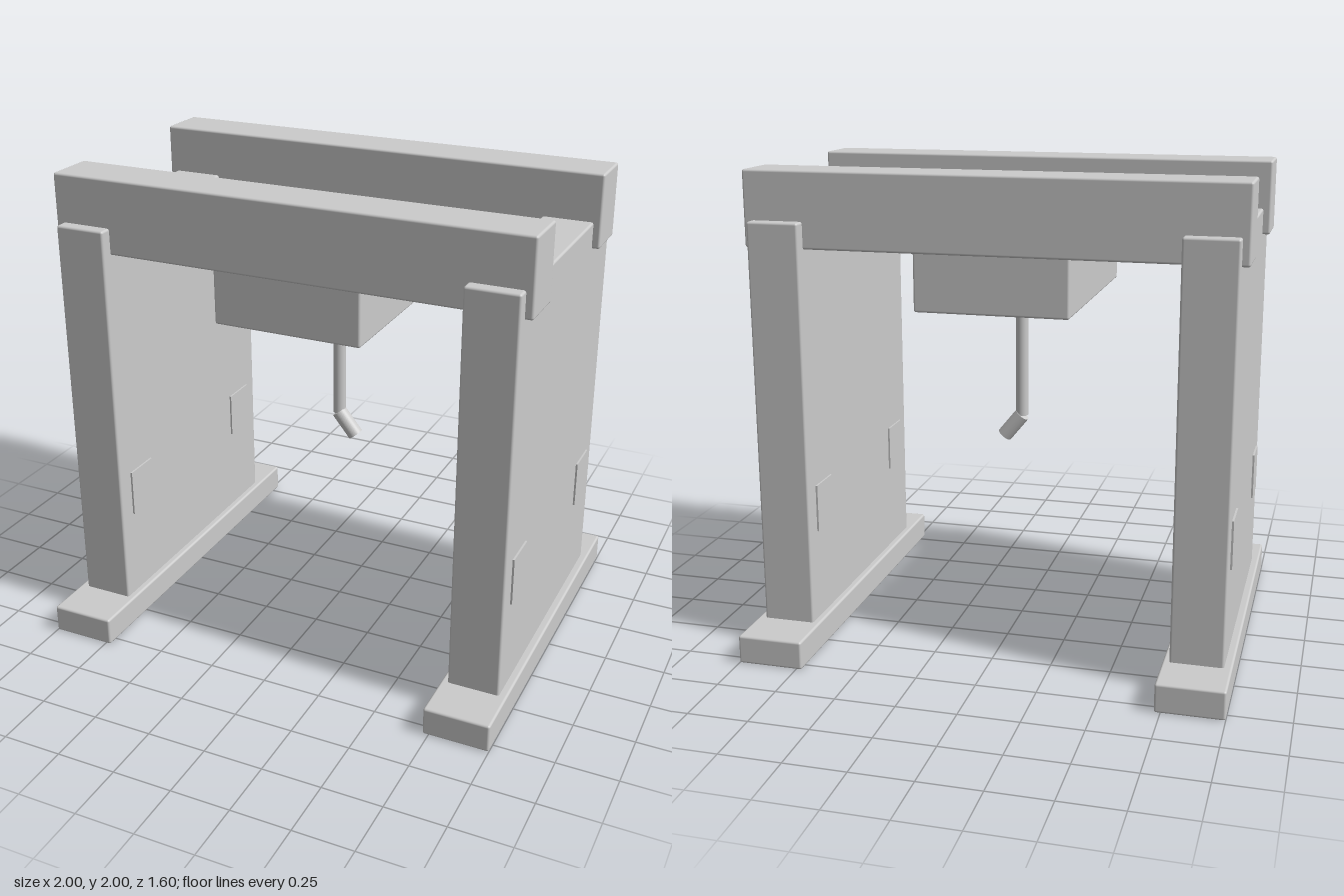
import * as THREE from 'three';
import { RoundedBoxGeometry } from 'three/addons/geometries/RoundedBoxGeometry.js';

const material = new THREE.MeshStandardMaterial({ color: 0xcccccc });

export function createModel() {
  const model = new THREE.Group();
  model.name = 'gantry';

  const add = (name, geometry, x, y, z) => {
    const mesh = new THREE.Mesh(geometry, material);
    mesh.name = name;
    mesh.position.set(x, y, z);
    model.add(mesh);
    return mesh;
  };
  // Box with softly eased edges, given by its lower and upper corners
  const block = (name, [x0, y0, z0], [x1, y1, z1]) =>
    add(name, new RoundedBoxGeometry(x1 - x0, y1 - y0, z1 - z0, 2, 0.01),
      (x0 + x1) / 2, (y0 + y1) / 2, (z0 + z1) / 2);

  // Side frames: foot, wall and two thin plates showing on both wall faces
  for (const [side, s] of [['left', 1], ['right', -1]]) {
    const span = (a, b) => (s > 0 ? [a, b] : [-b, -a]);
    const [f0, f1] = span(0.725, 1);
    block(side + 'Foot', [f0, 0, -0.8], [f1, 0.12, 0.8]);
    const [w0, w1] = span(0.752, 0.968);
    block(side + 'Wall', [w0, 0.11, -0.6], [w1, 1.8, 0.6]);
    for (const z of [-0.44, 0.44])
      add(side + 'WallPlate', new THREE.BoxGeometry(0.232, 0.2, 0.16), s * 0.86, 0.6, z);
  }

  // Cross beams
  block('frontBeam', [-1, 1.69, 0.335], [1, 2, 0.55]);
  block('backBeam', [-1, 1.69, -0.55], [1, 2, -0.335]);

  // Hanging housing between the beams
  block('housing', [-0.315, 1.45, -0.5], [0.315, 1.71, 0.5]);

  // Vertical rod
  add('rod', new THREE.CylinderGeometry(0.027, 0.027, 0.54, 24), 0, 1.19, 0);

  // Tilted nozzle, bored at its lower end
  const half = 0.062;
  const bore = new THREE.Shape().absarc(0, 0, 0.033, 0, Math.PI * 2);
  bore.holes.push(new THREE.Path().absarc(0, 0, 0.018, 0, Math.PI * 2, true));
  const sleeve = new THREE.ExtrudeGeometry(bore, { depth: half * 2, bevelEnabled: false, curveSegments: 24 });
  sleeve.translate(0, 0, -half).rotateX(-Math.PI / 2);
  const tilt = Math.atan2(0.077, 0.095);
  add('nozzle', sleeve, 0.038, 0.872, 0).rotation.z = tilt;
  const plug = new THREE.CylinderGeometry(0.019, 0.019, 0.08, 24);
  plug.translate(0, half - 0.041, 0);
  add('nozzleCore', plug, 0.038, 0.872, 0).rotation.z = tilt;

  return model;
}
